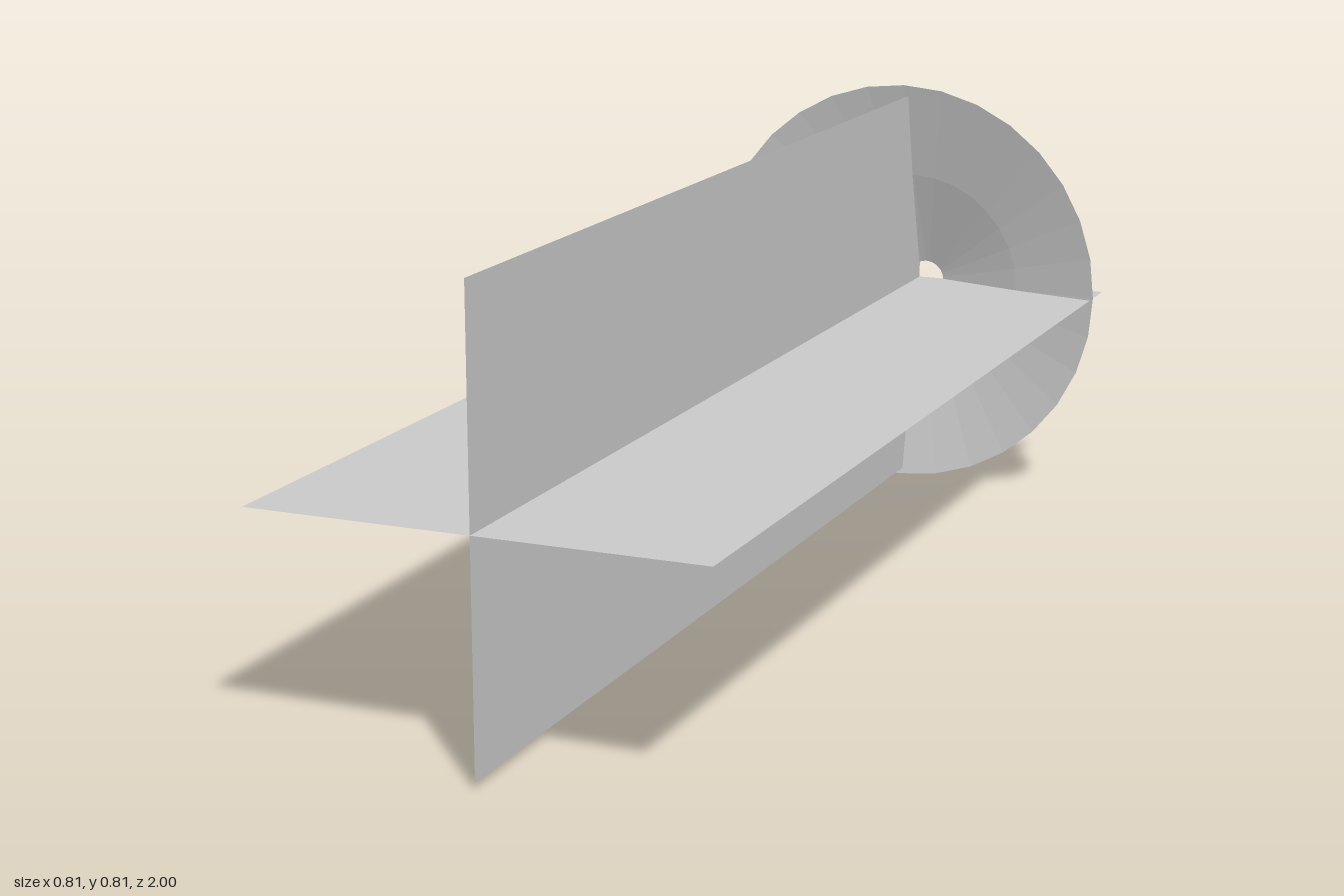
import * as THREE from 'three';

export function createModel() {
  const group = new THREE.Group();
  const material = new THREE.MeshStandardMaterial({
    color: 0xcccccc, flatShading: true, side: THREE.DoubleSide,
  });
  const add = (name, geometry) => {
    const mesh = new THREE.Mesh(geometry, material);
    mesh.name = name;
    group.add(mesh);
    return mesh;
  };

  // Two thin sheets crossing along the z axis
  const axisX = 0.008, axisY = 0.403;
  add('horizontalSheet', new THREE.PlaneGeometry(0.78, 2).rotateX(-Math.PI / 2))
    .position.set(axisX, axisY, 0);
  add('verticalSheet', new THREE.PlaneGeometry(2, 0.776).rotateY(Math.PI / 2))
    .position.set(axisX, axisY, 0);

  // Shallow flared cone at the back, open at its tip
  const rim = 0.405, hole = 0.038;
  const profile = [[rim, 0.909], [(rim + hole) / 2, 0.946], [hole, 0.997]]
    .map(([r, depth]) => new THREE.Vector2(r, depth));
  const cone = new THREE.LatheGeometry(profile, 32).rotateX(-Math.PI / 2);

  // The rings drift off centre towards the tip
  const p = cone.attributes.position;
  for (let i = 0; i < p.count; i++) {
    const x = p.getX(i), y = p.getY(i);
    const t = (rim - Math.hypot(x, y)) / (rim - hole);
    p.setXY(i, x + 0.023 * t, y + 0.408 - 0.008 * t);
  }
  cone.computeVertexNormals();
  add('flaredCone', cone);

  return group;
}
